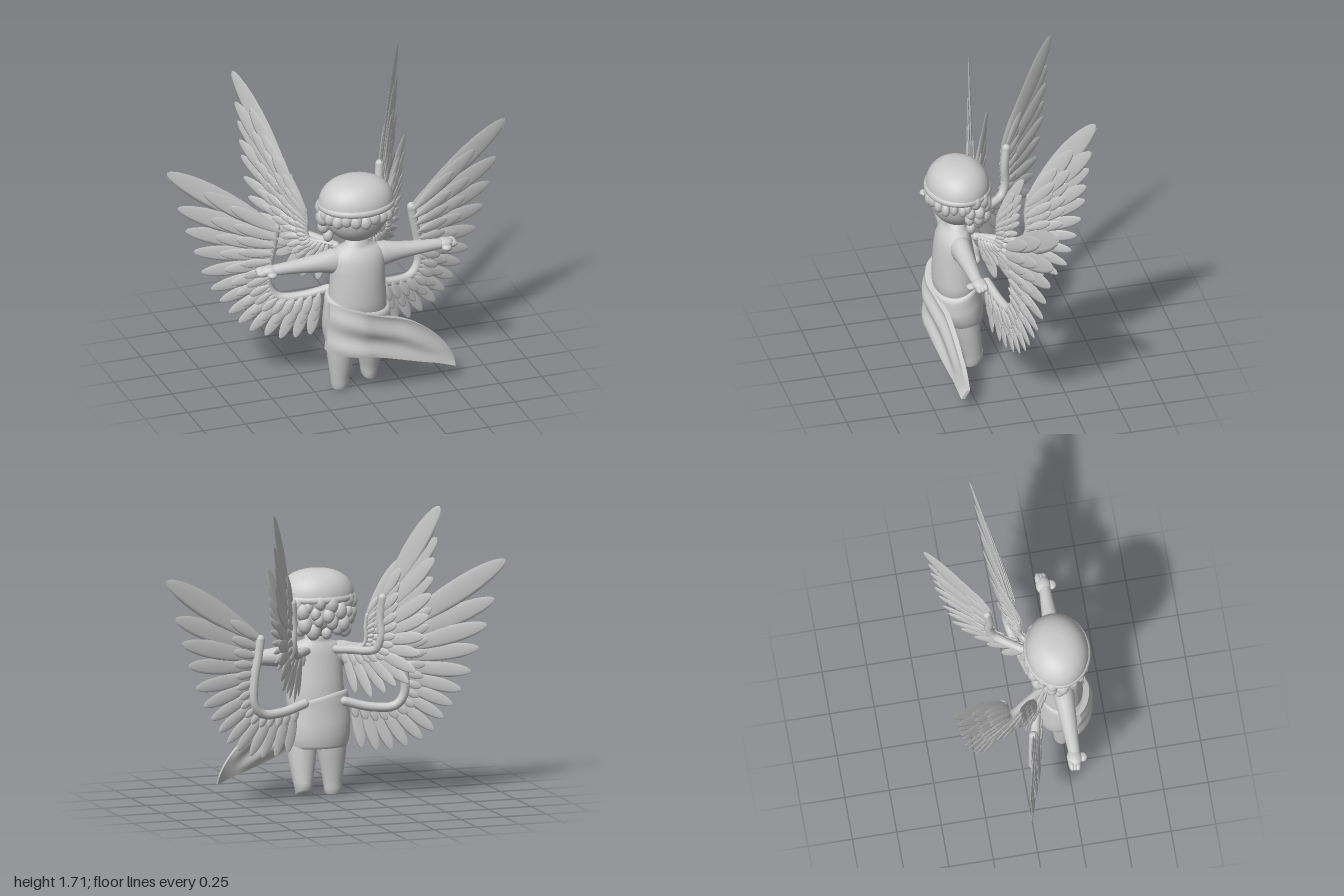
import * as THREE from 'three';
import { mergeGeometries } from 'three/addons/utils/BufferGeometryUtils.js';

const mat = new THREE.MeshStandardMaterial({ color: 0xcccccc, roughness: 0.8 });
const matTwo = new THREE.MeshStandardMaterial({ color: 0xcccccc, roughness: 0.8, side: THREE.DoubleSide });

function add(parent, name, geo, material = mat) {
  const m = new THREE.Mesh(geo, material);
  m.name = name;
  parent.add(m);
  return m;
}

// Closed tube of elliptical rings [x, y, z, rx, rz] stacked upward
function loft(rings, seg = 32) {
  const pos = [], idx = [];
  const first = rings[0], last = rings[rings.length - 1];
  const all = [[...first.slice(0, 3), 0.001, 0.001], ...rings, [...last.slice(0, 3), 0.001, 0.001]];
  all.forEach(([x, y, z, rx, rz], i) => {
    for (let j = 0; j < seg; j++) {
      const a = (j / seg) * Math.PI * 2;
      pos.push(x + Math.sin(a) * rx, y, z + Math.cos(a) * rz);
      if (i === all.length - 1) continue;
      const p = i * seg + j, q = i * seg + (j + 1) % seg;
      idx.push(p, q, q + seg, p, q + seg, p + seg);
    }
  });
  const g = new THREE.BufferGeometry();
  g.setAttribute('position', new THREE.Float32BufferAttribute(pos, 3));
  g.setIndex(idx);
  g.computeVertexNormals();
  return g;
}

// Move every vertex by a rule
function warp(geo, rule) {
  const p = geo.attributes.position, v = new THREE.Vector3();
  for (let i = 0; i < p.count; i++) {
    rule(v.fromBufferAttribute(p, i));
    p.setXYZ(i, v.x, v.y, v.z);
  }
  geo.computeVertexNormals();
  return geo;
}

const ball = (x, y, z, rx, ry, rz, w = 14, h = 10) =>
  new THREE.SphereGeometry(1, w, h).scale(rx, ry, rz).translate(x, y, z);

// Unit feather: root just behind the origin, tip at y = 1
const unitFeather = warp(new THREE.SphereGeometry(1, 8, 12), (v) => {
  const t = (v.y + 1) / 2;
  v.x *= 0.6 * (0.45 + 0.75 * t) * (1 - 0.35 * t * t);
  v.z *= 0.007;
  v.y = t * 1.05 - 0.05;
});

// Flat wing: arm points from root to wrist, tips from outermost to innermost
function wing(name, armPts, tipPts, radius, k = 1) {
  const g = new THREE.Group();
  g.name = name;
  const toCurve = (pts) => new THREE.CatmullRomCurve3(pts.map(([u, v]) => new THREE.Vector3(u, v, 0)));
  const arm = toCurve(armPts), tips = toCurve(tipPts);
  const back = -0.5 * radius;
  add(g, 'wingArm', new THREE.TubeGeometry(arm, 28, radius, 10).translate(0, 0, back));
  [armPts[0], armPts[armPts.length - 1]].forEach(([u, v]) =>
    add(g, 'wingArmEnd', ball(u, v, back, radius, radius, radius, 10, 8)));
  // flight feathers, then shorter coverts layered in front and a short row behind
  const layers = [['flightFeathers', 14, 1, 0], ['middleCoverts', 14, 0.66, 0.011],
    ['smallCoverts', 15, 0.42, 0.019], ['backCoverts', 15, 0.32, -0.012]];
  for (const [label, n, factor, off] of layers) {
    const parts = [];
    for (let i = 0; i < n; i++) {
      const s = i / (n - 1);
      const root = arm.getPointAt(1 - s * 0.93);
      const d = tips.getPoint(s).sub(root).multiplyScalar(factor);
      const len = d.length();
      const width = 0.032 * k + 0.155 * len;
      parts.push(unitFeather.clone().scale(width, len, 1)
        .rotateZ(-Math.atan2(d.x, d.y))
        .translate(root.x, root.y, (off + (i % 2) * 0.004) * k));
    }
    add(g, label, mergeGeometries(parts));
  }
  return g;
}

function place(obj, x, z, dx, dz) {
  obj.position.set(x, 0, z);
  obj.rotation.y = Math.atan2(-dz, dx);
  return obj;
}

const upperArm = [[-0.12, 0.835], [0, 0.845], [0.1, 0.85], [0.16, 0.87], [0.19, 0.94], [0.185, 1.04], [0.2, 1.16]];
const upperTips = [[0.585, 1.715], [0.56, 1.52], [0.545, 1.4], [0.53, 1.28], [0.52, 1.18], [0.49, 1.03], [0.46, 0.92],
  [0.43, 0.81], [0.39, 0.71], [0.3, 0.68], [0.22, 0.63], [0.12, 0.59], [0, 0.6]];
const lowerArm = [[-0.05, 0.55], [0.1, 0.515], [0.23, 0.52], [0.28, 0.58], [0.28, 0.72], [0.255, 0.85], [0.24, 0.94]];
const lowerTips = [[0.85, 1.325], [0.785, 1.09], [0.74, 0.94], [0.69, 0.8], [0.64, 0.66], [0.58, 0.56], [0.53, 0.48],
  [0.47, 0.4], [0.41, 0.34], [0.32, 0.295], [0.23, 0.27], [0.14, 0.265], [0.05, 0.28]];

// One side's arm, hand and wings, built on +x
function sideParts(name) {
  const g = new THREE.Group();
  g.name = name;
  const arm = add(g, 'arm', loft([[0, -0.1, 0, 0.05, 0.05], [0, -0.04, 0, 0.07, 0.06], [0, 0.03, 0, 0.072, 0.058],
    [0, 0.09, 0, 0.056, 0.051], [0, 0.18, 0, 0.044, 0.045], [0, 0.28, 0, 0.036, 0.037], [0, 0.36, 0, 0.03, 0.032],
    [0, 0.38, 0, 0.02, 0.022]], 20));
  arm.rotation.z = -Math.PI / 2;
  arm.position.set(0.13, 0.795, 0.25);
  // Mitten-like hand: palm, thumb and short fingers pressed together
  const hand = [ball(0.515, 0.794, 0.245, 0.055, 0.03, 0.042), ball(0.515, 0.784, 0.292, 0.028, 0.017, 0.026)];
  for (let i = 0; i < 3; i++) hand.push(ball(0.552, 0.795 - 0.005 * i, 0.223 + i * 0.017, 0.04, 0.02, 0.018));
  add(g, 'hand', mergeGeometries(hand));

  g.add(place(wing('upperWing', upperArm, upperTips, 0.024), 0.165, 0.06, 0.555, -0.832));
  g.add(place(wing('lowerWing', lowerArm, lowerTips, 0.026), 0.17, 0.1, 0.975, -0.22));
  const shrink = (pts) => pts.map(([u, v]) => [u * 0.48, 0.86 + (v - 0.86) * 0.58]);
  g.add(place(wing('smallWing', shrink(upperArm), shrink(upperTips), 0.012, 0.6), 0.16, 0.12, 0.82, -0.57));
  return g;
}

export function createModel() {
  const model = new THREE.Group();
  model.name = 'wingedChild';

  // Torso and neck
  add(model, 'torso', loft([[0, 0.4, 0.25, 0.17, 0.12], [0, 0.55, 0.25, 0.167, 0.128], [0, 0.65, 0.255, 0.16, 0.12],
    [0, 0.74, 0.26, 0.157, 0.108], [0, 0.8, 0.26, 0.155, 0.098], [0, 0.84, 0.255, 0.146, 0.085],
    [0, 0.868, 0.25, 0.115, 0.068], [0, 0.885, 0.245, 0.065, 0.056], [0, 0.95, 0.24, 0.055, 0.052]]));

  // Legs, the left one swung back
  add(model, 'rightLeg', loft([[-0.1, 0.004, 0.245, 0.034, 0.03], [-0.1, 0.012, 0.245, 0.046, 0.042],
    [-0.1, 0.045, 0.245, 0.051, 0.046], [-0.1, 0.09, 0.248, 0.056, 0.05], [-0.097, 0.2, 0.25, 0.075, 0.07],
    [-0.093, 0.3, 0.25, 0.088, 0.085], [-0.09, 0.4, 0.25, 0.09, 0.09]], 24));
  add(model, 'leftLeg', warp(loft([[0.1, 0.012, 0.168, 0.034, 0.036], [0.1, 0.02, 0.166, 0.046, 0.05],
    [0.1, 0.06, 0.168, 0.051, 0.052], [0.1, 0.1, 0.177, 0.056, 0.056], [0.097, 0.2, 0.198, 0.075, 0.07],
    [0.093, 0.3, 0.22, 0.088, 0.082], [0.09, 0.4, 0.24, 0.09, 0.09]], 24), (v) => {
    if (v.y < 0.08) v.y -= (v.z - 0.17) * 0.5 - 0.015; // tilted sole
  }));

  // Hip wrap with a slanted waist and soft folds
  add(model, 'hipWrap', warp(loft([[0, 0.31, 0.22, 0.15, 0.095], [0, 0.285, 0.22, 0.165, 0.11], [0, 0.3, 0.223, 0.178, 0.122],
    [0, 0.35, 0.235, 0.193, 0.137], [0, 0.4, 0.245, 0.197, 0.143], [0, 0.44, 0.25, 0.195, 0.14], [0, 0.48, 0.255, 0.192, 0.14],
    [0, 0.52, 0.256, 0.187, 0.139], [0, 0.545, 0.255, 0.18, 0.135], [0, 0.54, 0.255, 0.155, 0.115]], 48), (v) => {
    const t = THREE.MathUtils.smoothstep(v.y, 0.28, 0.52);
    const fold = 1 + 0.015 * Math.sin(v.y * 70 + v.x * 14) * t;
    v.y -= t * (0.24 * v.x + 0.26 * (v.z - 0.255));
    v.x *= fold;
    v.z = 0.25 + (v.z - 0.25) * fold;
  }));

  // Loose sash sweeping across the front to the model's left
  const edge = (pts) => new THREE.SplineCurve(pts.map(([x, y]) => new THREE.Vector2(x, y)));
  const top = edge([[-0.19, 0.57], [-0.05, 0.53], [0.1, 0.47], [0.28, 0.4], [0.42, 0.3], [0.5, 0.21], [0.545, 0.13]]);
  const low = edge([[-0.205, 0.28], [-0.08, 0.262], [0.05, 0.245], [0.2, 0.2], [0.33, 0.155], [0.44, 0.12], [0.545, 0.08]]);
  add(model, 'sash', warp(new THREE.BoxGeometry(1, 1, 1, 40, 16, 1), (v) => {
    const u = v.x + 0.5, w = v.y + 0.5, side = v.z;
    const p = low.getPoint(u).lerp(top.getPoint(u), w);
    const wrap = p.x < 0 ? 0.25 + 0.155 * Math.sqrt(Math.max(0, 1 - (p.x / 0.215) ** 2))
      : 0.405 - 0.11 * p.x - w * Math.min(0.03, p.x * 0.15);
    const fold = 0.012 * Math.sin(w * 11 + u * 3) * Math.sin(Math.PI * Math.min(1, u + 0.2));
    v.set(p.x, p.y, wrap + fold + side * 0.035 * (1 - 0.4 * u));
  }), matTwo);

  // Head, domed cap and headband
  add(model, 'face', ball(0, 1.08, 0.235, 0.185, 0.178, 0.163, 32, 24));
  const capProfile = [];
  for (let i = 0; i <= 12; i++) {
    const a = (i / 12) * Math.PI / 2;
    capProfile.push(new THREE.Vector2(0.214 * Math.cos(a) ** 0.8, 1.135 + 0.147 * Math.sin(a)));
  }
  add(model, 'cap', new THREE.LatheGeometry(capProfile, 40).scale(1, 1, 0.82).translate(0, 0, 0.235));
  add(model, 'headband', new THREE.TorusGeometry(0.203, 0.018, 10, 48).rotateX(Math.PI / 2)
    .scale(1, 1.1, 0.84).translate(0, 1.128, 0.236));

  // Fringe of short locks, and tousled curls round the sides and back
  const locks = [], curls = [ball(0, 1.04, 0.195, 0.185, 0.13, 0.125, 24, 16)];
  for (let i = 0; i < 11; i++) {
    const a = (i / 10 - 0.5) * 2.9;
    locks.push(ball(Math.sin(a) * 0.188, 1.088 - 0.009 * (i % 3), 0.235 + Math.cos(a) * 0.163, 0.034, 0.04, 0.024, 12, 8));
  }
  for (let row = 0; row < 4; row++) {
    const n = 10 - row;
    for (let i = 0; i < n; i++) {
      const a = Math.PI + (i / (n - 1) - 0.5) * (3.2 - row * 0.1) + (row % 2) * 0.08;
      const r = [0.188, 0.192, 0.185, 0.16][row];
      const s = 0.03 + 0.006 * ((i * 7 + row * 3) % 3);
      curls.push(ball(Math.sin(a) * r, 1.09 - row * 0.05 + 0.012 * ((i * 5 + row) % 3), 0.225 + Math.cos(a) * r * 0.78,
        s, s * 1.25, s * 0.9, 12, 8));
    }
  }
  add(model, 'fringe', mergeGeometries(locks));
  add(model, 'curls', mergeGeometries(curls));

  // Mirrored sides
  const right = sideParts('rightSide');
  right.scale.x = -1;
  model.add(sideParts('leftSide'), right);
  return model;
}
